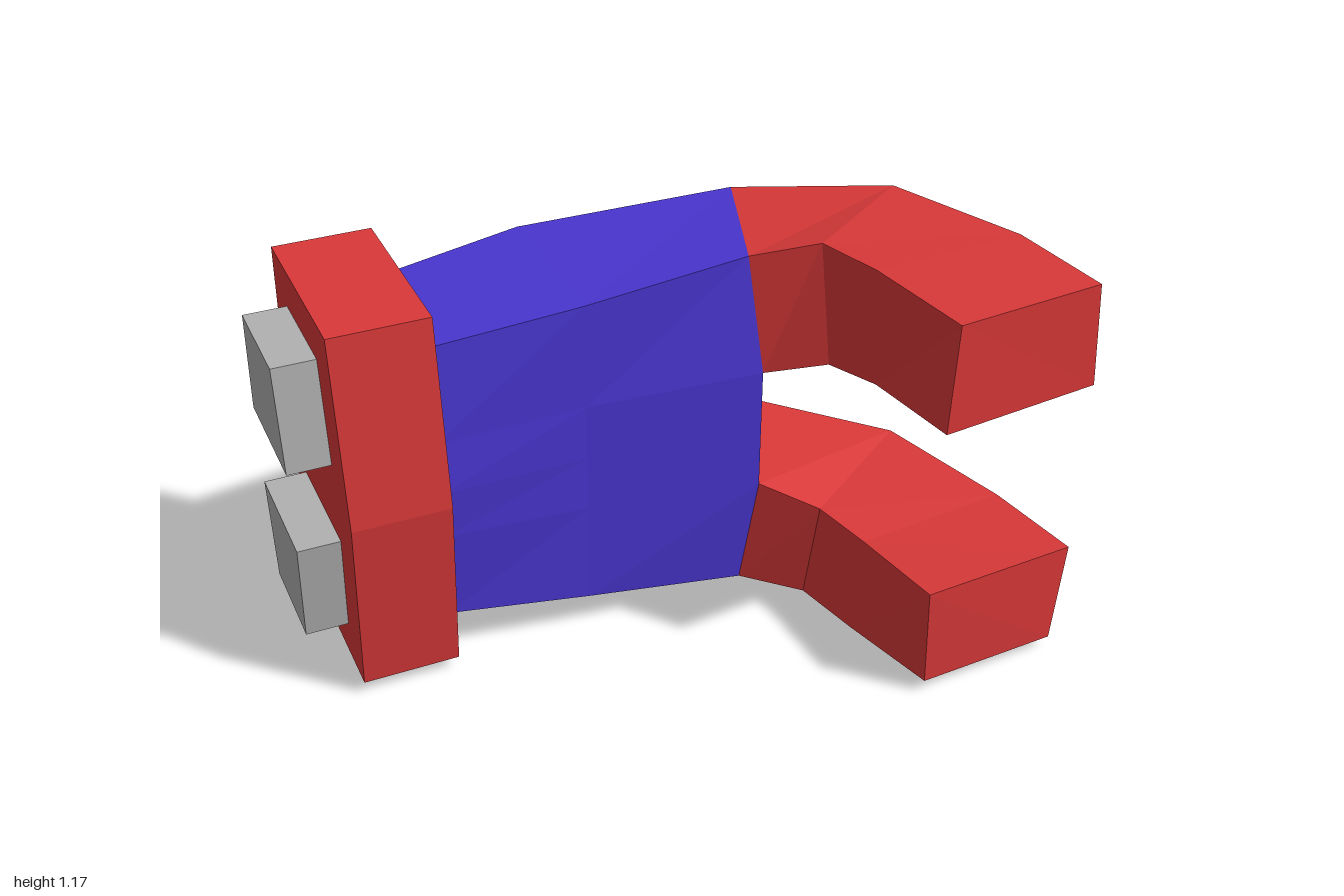
import * as THREE from 'three';

const MID = 0.585; // height of the plane of symmetry

const flat = (name, color) => {
  const m = new THREE.MeshStandardMaterial({ color, flatShading: true });
  m.name = name;
  return m;
};

// Skin between cross-sections; a section is a list of rows from top to bottom,
// each row [front point, back point]. Both ends are capped.
function loft(sections) {
  const rings = sections.map(rows => [
    rows[0][0], ...rows.map(r => r[1]), ...rows.slice(1).reverse().map(r => r[0]),
  ]);
  const n = rings[0].length, pos = [];
  const quad = (a, b, c, d) => pos.push(...a, ...b, ...c, ...a, ...c, ...d);
  for (let s = 0; s < rings.length - 1; s++) {
    for (let i = 0; i < n; i++) {
      const j = (i + 1) % n;
      quad(rings[s][i], rings[s + 1][i], rings[s + 1][j], rings[s][j]);
    }
  }
  const first = sections[0], last = sections[sections.length - 1];
  for (let k = 0; k < first.length - 1; k++) {
    quad(first[k][0], first[k][1], first[k + 1][1], first[k + 1][0]);
    quad(last[k][0], last[k + 1][0], last[k + 1][1], last[k][1]);
  }
  const g = new THREE.BufferGeometry();
  g.setAttribute('position', new THREE.Float32BufferAttribute(pos, 3));
  g.computeVertexNormals();
  return g;
}

// Section symmetric about MID from its upper rows [height above MID, xFront, zFront, xBack, zBack]
function symmetric(upper) {
  const row = (r, s) => [[r[1], MID + s * r[0], r[2]], [r[3], MID + s * r[0], r[4]]];
  return [...upper.map(r => row(r, 1)), ...upper.slice(0, -1).reverse().map(r => row(r, -1))];
}

export function createModel() {
  const group = new THREE.Group();
  const red = flat('red', 0xd93838);
  const blue = flat('blue', 0x4a36d2);
  const grey = flat('grey', 0xb0b0b0);
  const add = (name, geometry, material) => {
    const mesh = new THREE.Mesh(geometry, material);
    mesh.name = name;
    group.add(mesh);
  };

  // Palm block, widening towards the fingers
  add('palm', loft([
    symmetric([[0.43, -0.61, -0.075, -0.61, -0.5], [0.15, -0.61, -0.052, -0.61, -0.526], [0, -0.61, -0.04, -0.61, -0.54]]),
    symmetric([[0.475, -0.195, -0.04, -0.195, -0.54], [0.165, -0.195, -0.04, -0.195, -0.573], [0, -0.195, -0.04, -0.195, -0.59]]),
    symmetric([[0.533, 0.27, -0.02, 0.41, -0.42], [0.185, 0.305, 0.02, 0.465, -0.425], [0, 0.305, 0.02, 0.465, -0.425]]),
  ]), blue);

  // Wrist plate with bowed front and back
  add('wristPlate', loft([-0.88, -0.605].map(x =>
    symmetric([[0.548, x, -0.02, x, -0.555], [0, x, 0.033, x, -0.605]]))), red);

  // Two pegs behind the plate, wider towards the middle
  for (const s of [1, -1]) {
    const rows = [[0.427, -0.14, -0.44], [0.123, -0.11, -0.47]];
    if (s < 0) rows.reverse();
    add(s > 0 ? 'upperPeg' : 'lowerPeg', loft([-1, -0.87].map(x =>
      rows.map(([h, zf, zb]) => [[x, MID + s * h, zf], [x, MID + s * h, zb]]))), grey);
  }

  // Curved fingers: each station has an outer row and an inner row of [inside, outside] points
  const stations = [
    [[[0.27, 1.118, -0.02], [0.41, 1.118, -0.42]], [[0.305, 0.77, 0.02], [0.465, 0.77, -0.425]]],
    [[[0.44, 1.163, 0.07], [0.79, 1.16, -0.167]], [[0.445, 0.825, 0.133], [0.835, 0.825, -0.143]]],
    [[[0.49, 1.17, 0.27], [0.94, 1.168, 0.245]], [[0.495, 0.843, 0.3], [0.965, 0.847, 0.25]]],
    [[[0.54, 1.168, 0.6], [0.967, 1.174, 0.57]], [[0.525, 0.858, 0.605], [0.995, 0.867, 0.565]]],
  ];
  add('upperFinger', loft(stations), red);
  // The lower finger is mirrored, with its tip raised a little
  add('lowerFinger', loft(stations.map((rows, i) => rows.map(row => row.map(
    ([x, y, z]) => [x, 2 * MID - y + (i === 3 ? 0.036 : 0), z])).reverse())), red);

  return group;
}
